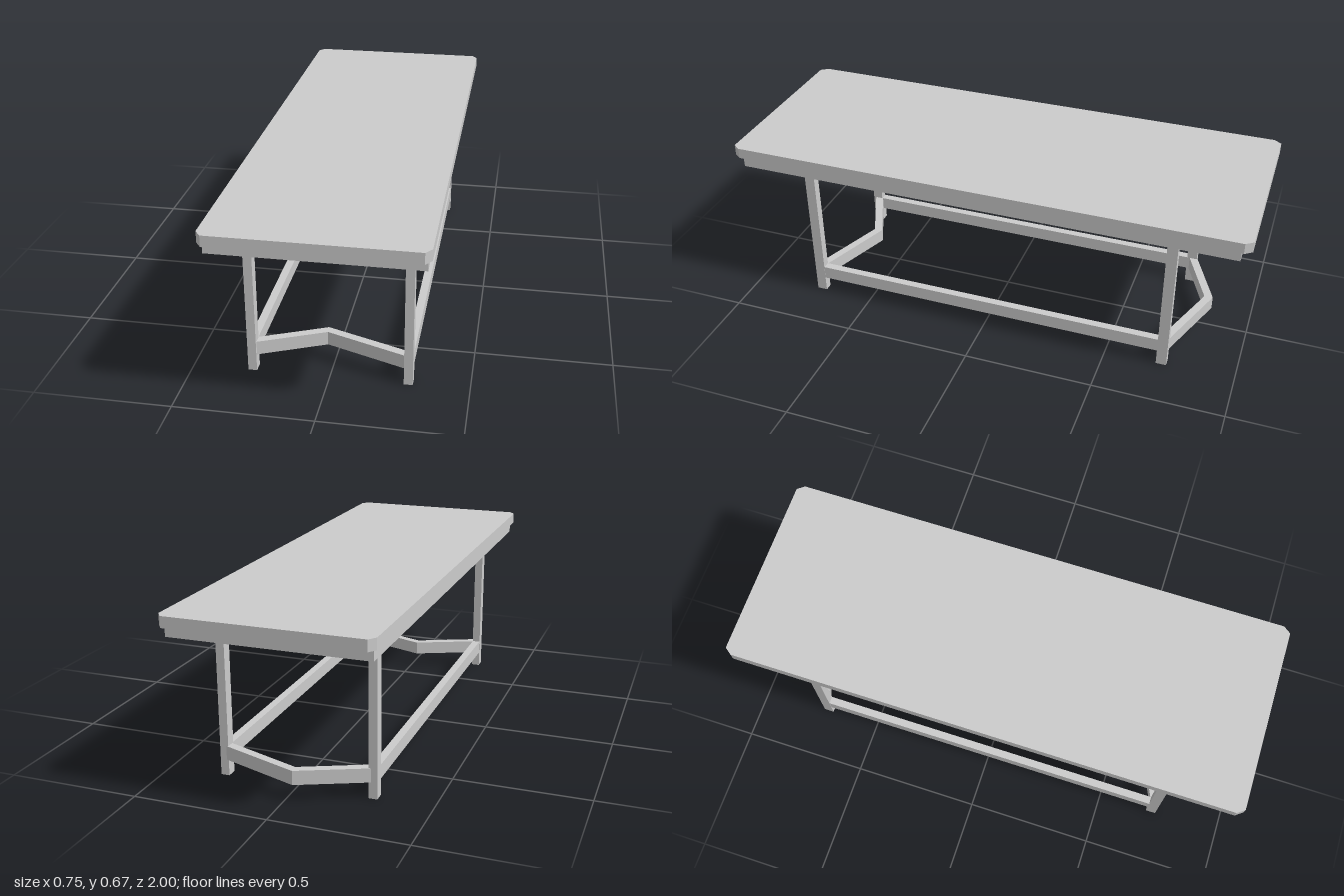
import * as THREE from 'three';

const LEG_X = 0.282, LEG_Z = 0.721;
const RAIL_Y = 0.061, RAIL_H = 0.053;

export function createModel() {
  const table = new THREE.Group();
  table.name = 'table';
  const material = new THREE.MeshStandardMaterial({ color: 0xcccccc, flatShading: true });

  const add = (name, geometry, x, y, z) => {
    const mesh = new THREE.Mesh(geometry, material);
    mesh.name = name;
    mesh.position.set(x, y, z);
    table.add(mesh);
  };

  // Extrudes a plan outline upwards; the outline's +y points to the back (-z)
  const slab = (points, height) => {
    const shape = new THREE.Shape(points.map(([x, y]) => new THREE.Vector2(x, y)));
    return new THREE.ExtrudeGeometry(shape, { depth: height, bevelEnabled: false }).rotateX(-Math.PI / 2);
  };

  // Table top with clipped corners
  const w = 0.376, l = 1, cx = 0.021, cz = 0.028;
  add('tableTop', slab([
    [w - cx, -l], [w, -l + cz], [w, l - cz], [w - cx, l],
    [-w + cx, l], [-w, l - cz], [-w, -l + cz], [-w + cx, -l],
  ], 0.041), 0, 0.627, 0);

  // Solid panel below the top
  add('underPanel', new THREE.BoxGeometry(0.724, 0.042, 1.926), 0, 0.606, 0);

  // Legs and long side stretchers
  for (const sx of [-1, 1]) {
    for (const sz of [-1, 1]) {
      add('leg', new THREE.BoxGeometry(0.032, 0.585, 0.04), sx * LEG_X, 0.2925, sz * LEG_Z);
    }
    add('sideStretcher', new THREE.BoxGeometry(0.03, RAIL_H, 2 * LEG_Z - 0.03),
      sx * LEG_X, RAIL_Y + RAIL_H / 2, 0);
  }

  // Bent end stretchers, both bowed to the back with an off-centre bend
  const bent = slab([
    [-LEG_X, -0.017], [-0.027, 0.096], [LEG_X, -0.017],
    [LEG_X, 0.017], [-0.029, 0.129], [-LEG_X, 0.017],
  ], RAIL_H);
  add('frontStretcher', bent, 0, RAIL_Y, LEG_Z);
  add('backStretcher', bent, 0, RAIL_Y, -LEG_Z);

  return table;
}
